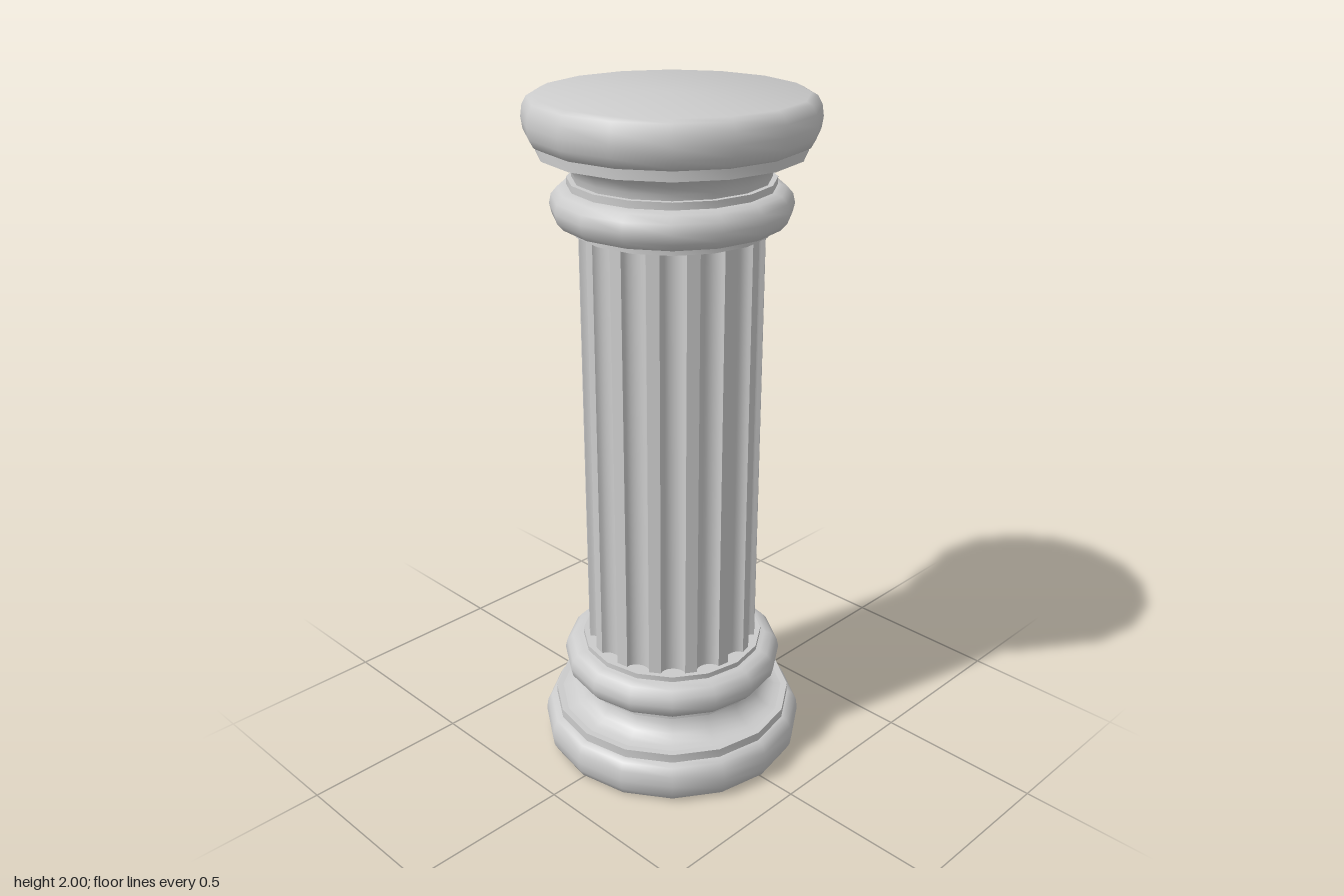
import * as THREE from 'three';
import { toCreasedNormals } from 'three/addons/utils/BufferGeometryUtils.js';

const SIDES = 16;
const FLUTES = 15;
const material = new THREE.MeshStandardMaterial({ color: 0xcccccc });

function addMesh(parent, name, geometry, crease) {
  const mesh = new THREE.Mesh(toCreasedNormals(geometry, crease), material);
  mesh.name = name;
  parent.add(mesh);
}

// Turned moulding; profile runs from bottom to top as [radius, height]
function turned(profile) {
  return new THREE.LatheGeometry(profile.map(([r, y]) => new THREE.Vector2(r, y)), SIDES);
}

// Closed ring profile with a rounded edge
function cushion(radius, y0, y1, bulge) {
  const mid = (y0 + y1) / 2, half = (y1 - y0) / 2;
  const profile = [[0, y0]];
  for (let i = 0; i <= 6; i++) {
    const a = -Math.PI / 2 + (Math.PI * i) / 6;
    profile.push([radius - bulge + bulge * Math.cos(a), mid + half * Math.sin(a)]);
  }
  profile.push([0, y1]);
  return profile;
}

const disc = (r, y0, y1) => [[0, y0], [r, y0], [r, y1], [0, y1]];

// Concave neck sweeping in from the wide lip to the narrow one
function scotia(r0, r1, y0, y1) {
  const profile = [];
  for (let i = 0; i <= 6; i++) {
    const a = (Math.PI / 2) * (i / 6);
    profile.push([r0 - (r0 - r1) * Math.sin(a), y1 - (y1 - y0) * Math.cos(a)]);
  }
  return profile;
}

// Mouldings shared by the base and, upside down, by the capital
const mouldings = {
  Plinth: cushion(0.4, 0, 0.125, 0.034),
  WideFillet: disc(0.365, 0.12, 0.152),
  Scotia: scotia(0.345, 0.27, 0.152, 0.225),
  NarrowFillet: disc(0.285, 0.222, 0.245),
  Torus: cushion(0.333, 0.242, 0.346, 0.045),
  Collar: disc(0.275, 0.34, 0.362),
};

// Shaft cross-section: narrow flats between rounded grooves
function shaftShape() {
  const radius = 0.256, depth = 0.028, step = (Math.PI * 2) / FLUTES;
  const flat = step / 3, groove = step - flat, steps = 8;
  const points = [];
  for (let f = 0; f < FLUTES; f++) {
    const start = THREE.MathUtils.degToRad(-4.5) + f * step;
    for (let i = 0; i <= steps; i++) {
      const t = (Math.PI * i) / steps;
      const a = start + (groove * (1 - Math.cos(t))) / 2;
      const r = radius - depth * Math.sin(t);
      points.push(new THREE.Vector2(Math.sin(a) * r, -Math.cos(a) * r));
    }
  }
  return new THREE.Shape(points);
}

export function createModel() {
  const column = new THREE.Group();
  column.name = 'column';

  const base = new THREE.Group();
  base.name = 'base';
  const capital = new THREE.Group();
  capital.name = 'capital';
  column.add(base, capital);

  for (const [name, profile] of Object.entries(mouldings)) {
    addMesh(base, 'base' + name, turned(profile), 0.85);
    const flipped = profile.map(([r, y]) => [r, 2 - y]).reverse();
    addMesh(capital, 'capital' + name, turned(flipped), 0.85);
  }

  // Fluted shaft
  const shaft = new THREE.ExtrudeGeometry(shaftShape(), { depth: 1.3, bevelEnabled: false });
  shaft.rotateX(-Math.PI / 2);
  shaft.translate(0, 0.35, 0);
  addMesh(column, 'flutedShaft', shaft, 0.65);

  return column;
}
